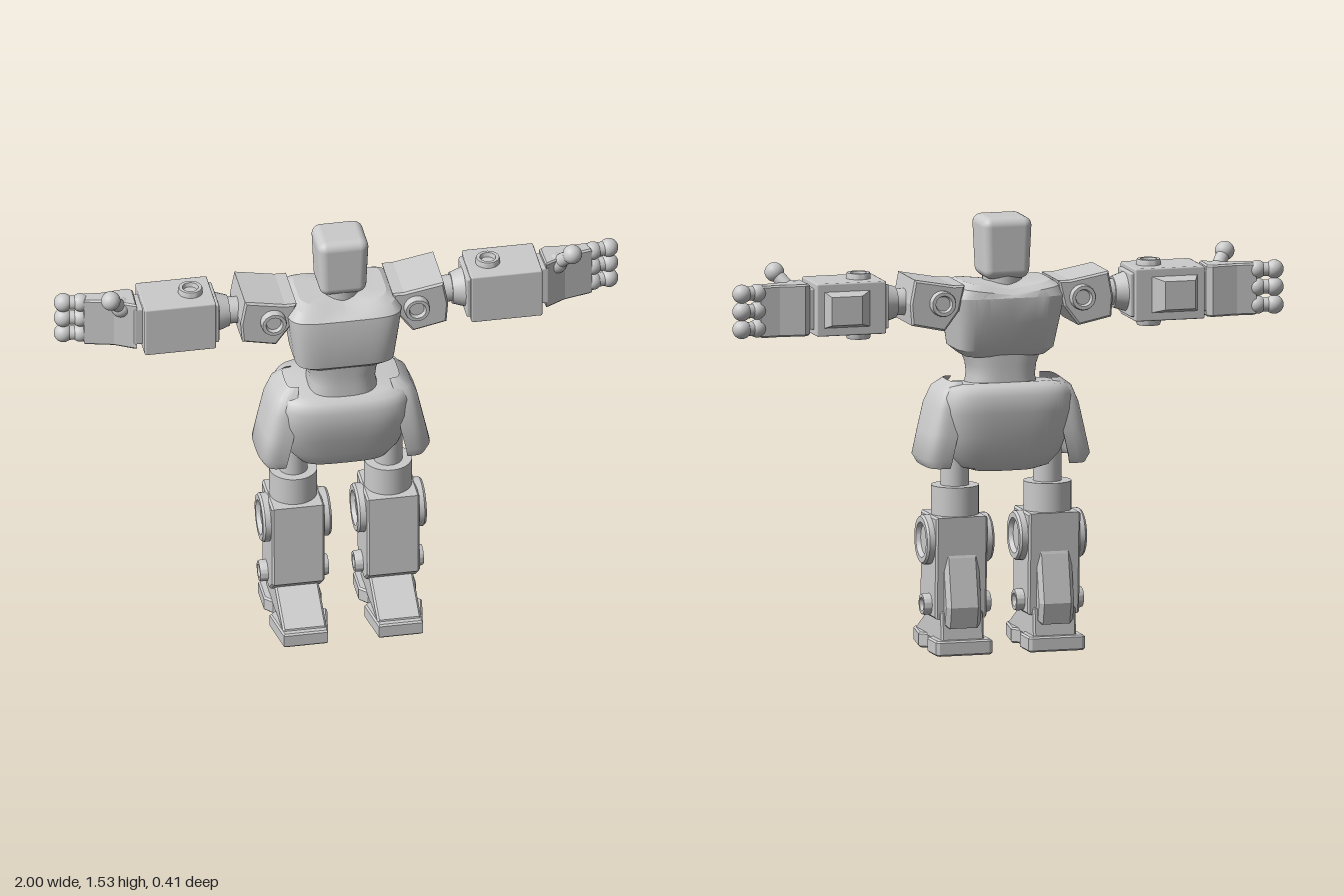
import * as THREE from 'three';
import { toCreasedNormals } from 'three/addons/utils/BufferGeometryUtils.js';
import { RoundedBoxGeometry } from 'three/addons/geometries/RoundedBoxGeometry.js';

const material = new THREE.MeshStandardMaterial({ color: 0xcccccc });
const shellMaterial = new THREE.MeshStandardMaterial({ color: 0xcccccc, side: THREE.DoubleSide });

function box(x0, x1, y0, y1, z0, z1, r = 0.006, seg = 1) {
  const g = new RoundedBoxGeometry(x1 - x0, y1 - y0, z1 - z0, seg, r);
  return g.translate((x0 + x1) / 2, (y0 + y1) / 2, (z0 + z1) / 2);
}

// Bevelled slab of an outline, running from 0 to depth along z
function slab(points, depth, bevel = 0.007) {
  return new THREE.ExtrudeGeometry(new THREE.Shape(points.map(p => new THREE.Vector2(...p))), {
    depth: depth - 2 * bevel, bevelThickness: bevel, bevelSize: bevel, bevelOffset: -bevel, bevelSegments: 1,
  }).translate(0, 0, bevel);
}
// Outline of [z, y] points, extruded from x0 to x1
const slabX = (pts, x0, x1, b) => slab(pts.map(([z, y]) => [-z, y]), x1 - x0, b).rotateY(Math.PI / 2).translate(x0, 0, 0);
// Outline of [x, z] points, extruded from y0 to y1
const slabY = (pts, y0, y1, b) => slab(pts, y1 - y0, b).rotateX(Math.PI / 2).translate(0, y1, 0);

// Round bar between two points
function rod(a, b, r0, r1 = r0, seg = 24) {
  const p = new THREE.Vector3(...a), q = new THREE.Vector3(...b), d = q.clone().sub(p);
  const g = new THREE.CylinderGeometry(r1, r0, d.length(), seg);
  g.applyQuaternion(new THREE.Quaternion().setFromUnitVectors(new THREE.Vector3(0, 1, 0), d.normalize()));
  return g.translate(...p.add(q).multiplyScalar(0.5).toArray());
}

// Joint pin of full length 2h with a dished face on both ends, along y
function pin(r, inner, h, dish = 0.015) {
  const half = [[0, h - dish], [inner * 0.85, h - dish], [inner, h], [r * 0.93, h], [r, h - 0.008]];
  const pts = [...half.map(([x, y]) => [x, -y]), ...half.reverse()];
  return toCreasedNormals(new THREE.LatheGeometry(pts.map(p => new THREE.Vector2(...p)), 36), 0.5);
}

// Skin over rings of points; closed rings also get end caps
function skin(rings, closed, crease) {
  const n = rings[0].length, pos = rings.flat(2), idx = [];
  for (let i = 0; i < rings.length - 1; i++) {
    for (let j = 0; j < (closed ? n : n - 1); j++) {
      const a = i * n + j, b = i * n + (j + 1) % n;
      idx.push(a, a + n, b, b, a + n, b + n);
    }
  }
  if (closed) {
    [0, rings.length - 1].forEach((k, end) => {
      const c = pos.length / 3;
      for (let m = 0; m < 3; m++) pos.push(rings[k].reduce((s, p) => s + p[m], 0) / n);
      for (let j = 0; j < n; j++) {
        const a = k * n + j, b = k * n + (j + 1) % n;
        idx.push(c, end ? b : a, end ? a : b);
      }
    });
  }
  const g = new THREE.BufferGeometry();
  g.setAttribute('position', new THREE.Float32BufferAttribute(pos, 3));
  g.setIndex(idx);
  return toCreasedNormals(g, crease);
}

// Body from sections [y, halfWidth, zFront, zBack]; e squares the corners
function body(sections, e, bend = () => 0, crease = 0.6) {
  const pw = v => Math.sign(v) * Math.abs(v) ** (2 / e), n = 56;
  return skin(sections.map(([y, w, zf, zb], k) => Array.from({ length: n }, (_, j) => {
    const a = j / n * Math.PI * 2;
    const x = w * pw(Math.cos(a)), z = (zf + zb) / 2 + (zf - zb) / 2 * pw(Math.sin(a));
    return [x, y + bend(x / w, z, k), z];
  })), true, crease);
}

function mirrored(geometry) {
  const g = geometry.index ? geometry.toNonIndexed() : geometry.clone();
  g.deleteAttribute('uv');
  g.scale(-1, 1, 1);
  for (const { array } of Object.values(g.attributes)) {
    for (let i = 0; i < array.length; i += 9) {
      for (let m = 3; m < 6; m++) [array[i + m], array[i + m + 3]] = [array[i + m + 3], array[i + m]];
    }
  }
  return g;
}

export function createModel() {
  const model = new THREE.Group();
  model.name = 'robot';
  const add = (name, g, mat = material) => {
    const mesh = new THREE.Mesh(g, mat);
    mesh.name = name;
    model.add(mesh);
  };
  const pair = (name, g, mat) => {
    add('left ' + name, g, mat);
    add('right ' + name, mirrored(g), mat);
  };

  // Head, narrowing slightly to the chin
  const head = box(-0.09, 0.09, 1.315, 1.533, -0.135, 0.035, 0.032, 5), hp = head.attributes.position;
  for (let i = 0; i < hp.count; i++) {
    const s = 1 - 0.1 * Math.max(0, (1.42 - hp.getY(i)) / 0.1);
    hp.setX(i, hp.getX(i) * s);
    hp.setZ(i, -0.05 + (hp.getZ(i) + 0.05) * s);
  }
  add('head', head);
  add('neck', rod([0, 1.24, -0.05], [0, 1.34, -0.05], 0.07));

  // Torso
  add('chest', body([
    [1.045, 0.145, 0.07, -0.13], [1.07, 0.175, 0.1, -0.15], [1.19, 0.192, 0.115, -0.19],
    [1.26, 0.204, 0.105, -0.197], [1.295, 0.185, 0.08, -0.19], [1.312, 0.155, 0.05, -0.165],
  ], 5, (u, z, k) => (k > 3 ? -0.025 : k === 2 ? -0.025 : 0) * (1 - Math.abs(u)), 0.4));
  add('waist', body([
    [0.9, 0.13, 0.08, -0.14], [0.97, 0.115, 0.075, -0.135], [1.01, 0.12, 0.075, -0.135], [1.06, 0.14, 0.08, -0.135],
  ], 3));
  add('pelvis', body([
    [0.64, 0.11, 0.04, -0.12], [0.655, 0.16, 0.07, -0.145], [0.7, 0.2, 0.085, -0.165], [0.77, 0.225, 0.105, -0.185],
    [0.84, 0.236, 0.117, -0.197], [0.9, 0.237, 0.118, -0.2], [0.935, 0.222, 0.105, -0.18], [0.945, 0.18, 0.075, -0.14],
  ], 3.6, (u, z, k) => (k > 3 ? -0.09 * (z + 0.04) : 0), 0.9));

  // Hip guards: inner wall down, rounded lip, outer wall up [y, xInner, xOuter, zFront, zBack]
  pair('hip guard', skin([
    [0.9, 0.18, 0.22, 0.05, -0.12], [0.8, 0.19, 0.25, 0.07, -0.14], [0.68, 0.215, 0.275, 0.07, -0.14],
    [0.66, 0.215, 0.287, 0.078, -0.148], [0.69, 0.21, 0.305, 0.087, -0.157], [0.78, 0.19, 0.285, 0.087, -0.157],
    [0.87, 0.18, 0.265, 0.08, -0.15], [0.93, 0.17, 0.24, 0.06, -0.135], [0.96, 0.16, 0.2, 0.03, -0.11],
  ].map(([y, xi, xo, zf, zb]) => Array.from({ length: 25 }, (_, j) => {
    const a = -Math.PI / 2 + j / 24 * Math.PI, s = Math.sin(a), c = Math.cos(a);
    return [xi + (xo - xi) * Math.sqrt(Math.max(0, c)), y, (zf + zb) / 2 + (zf - zb) / 2 * Math.sign(s) * Math.sqrt(Math.abs(s))];
  })), false, 0.8), shellMaterial);

  // Legs
  pair('thigh', rod([0.168, 0.55, -0.038], [0.168, 0.78, -0.038], 0.05));
  pair('thigh sleeve', rod([0.168, 0.45, -0.04], [0.168, 0.587, -0.04], 0.084, 0.084, 36));
  pair('shin', slabX([[0.065, 0.485], [0.069, 0.175], [0.01, 0.125], [-0.118, 0.125], [-0.135, 0.485]], 0.075, 0.262));
  pair('calf plate', slabX([[-0.11, 0.4], [-0.132, 0.34], [-0.167, 0.17], [-0.15, 0.095], [-0.11, 0.09]], 0.105, 0.232, 0.015));
  pair('knee pin', pin(0.087, 0.062, 0.122).rotateZ(Math.PI / 2).translate(0.168, 0.396, -0.035));
  pair('ankle pin', pin(0.038, 0.024, 0.122).rotateZ(Math.PI / 2).translate(0.168, 0.17, -0.043));

  // Feet: sloped instep on a sole notched at both sides
  pair('instep', slabX([[0.185, 0.04], [0.18, 0.06], [0.025, 0.145], [-0.04, 0.17], [-0.13, 0.15], [-0.14, 0.04]], 0.09, 0.245));
  const soleHalf = [[0.078, 0.205], [0.102, 0.06], [0.075, 0.035], [0.075, -0.02], [0.102, -0.05], [0.102, -0.155], [0.09, -0.163]];
  const sole = [...soleHalf, ...soleHalf.map(([x, z]) => [-x, z]).reverse()].map(([x, z]) => [x + 0.168, z]);
  pair('sole', slabY(sole, 0, 0.054, 0.006));

  // Shoulders
  pair('shoulder', slab([[0.17, 1.31], [0.21, 1.31], [0.352, 1.336], [0.368, 1.25], [0.362, 1.175], [0.243, 1.15], [0.19, 1.22]],
    0.215).translate(0, 0, -0.175));
  pair('shoulder pin', pin(0.045, 0.03, 0.135).rotateX(Math.PI / 2).translate(0.254, 1.25, -0.067));
  pair('upper arm', rod([0.3, 1.245, -0.067], [0.46, 1.245, -0.067], 0.047));
  pair('elbow collar', rod([0.395, 1.245, -0.067], [0.44, 1.245, -0.067], 0.055, 0.07));

  // Forearms
  pair('forearm', box(0.452, 0.705, 1.15, 1.336, -0.162, 0.025));
  pair('forearm end plate', box(0.438, 0.46, 1.165, 1.32, -0.147, 0.01));
  pair('forearm pin', pin(0.043, 0.028, 0.116).translate(0.527, 1.24, -0.068));
  const panel = (z, x0, x1, h) => [[x0, 1.243 - h, z], [x1, 1.243 - h, z], [x1, 1.243 + h, z], [x0, 1.243 + h, z]];
  pair('forearm panel', skin([panel(-0.155, 0.505, 0.68, 0.066), panel(-0.198, 0.55, 0.66, 0.05)], true, 0.2));

  // Hands
  pair('wrist', box(0.69, 0.735, 1.17, 1.315, -0.125, -0.02));
  pair('palm', slabY([[0.725, -0.02], [0.72, -0.125], [0.74, -0.14], [0.83, -0.13], [0.9, -0.135], [0.9, -0.085], [0.8, -0.06]],
    1.15, 1.333, 0.006));
  const ball = (p, r) => new THREE.SphereGeometry(r, 24, 16).translate(...p);
  [1.308, 1.246, 1.183].forEach((y, i) => {
    const knuckle = [0.908, y, -0.115], tip = [0.967, y, -0.125];
    pair(`finger ${i + 1} knuckle`, ball(knuckle, 0.032));
    pair(`finger ${i + 1}`, rod(knuckle, tip, 0.025));
    pair(`finger ${i + 1} tip`, ball(tip, 0.033));
  });
  const thumbBase = [0.772, 1.302, -0.068], thumbTip = [0.818, 1.363, -0.02];
  pair('thumb base', ball(thumbBase, 0.036));
  pair('thumb', rod(thumbBase, thumbTip, 0.024));
  pair('thumb tip', ball(thumbTip, 0.034));

  return model;
}
